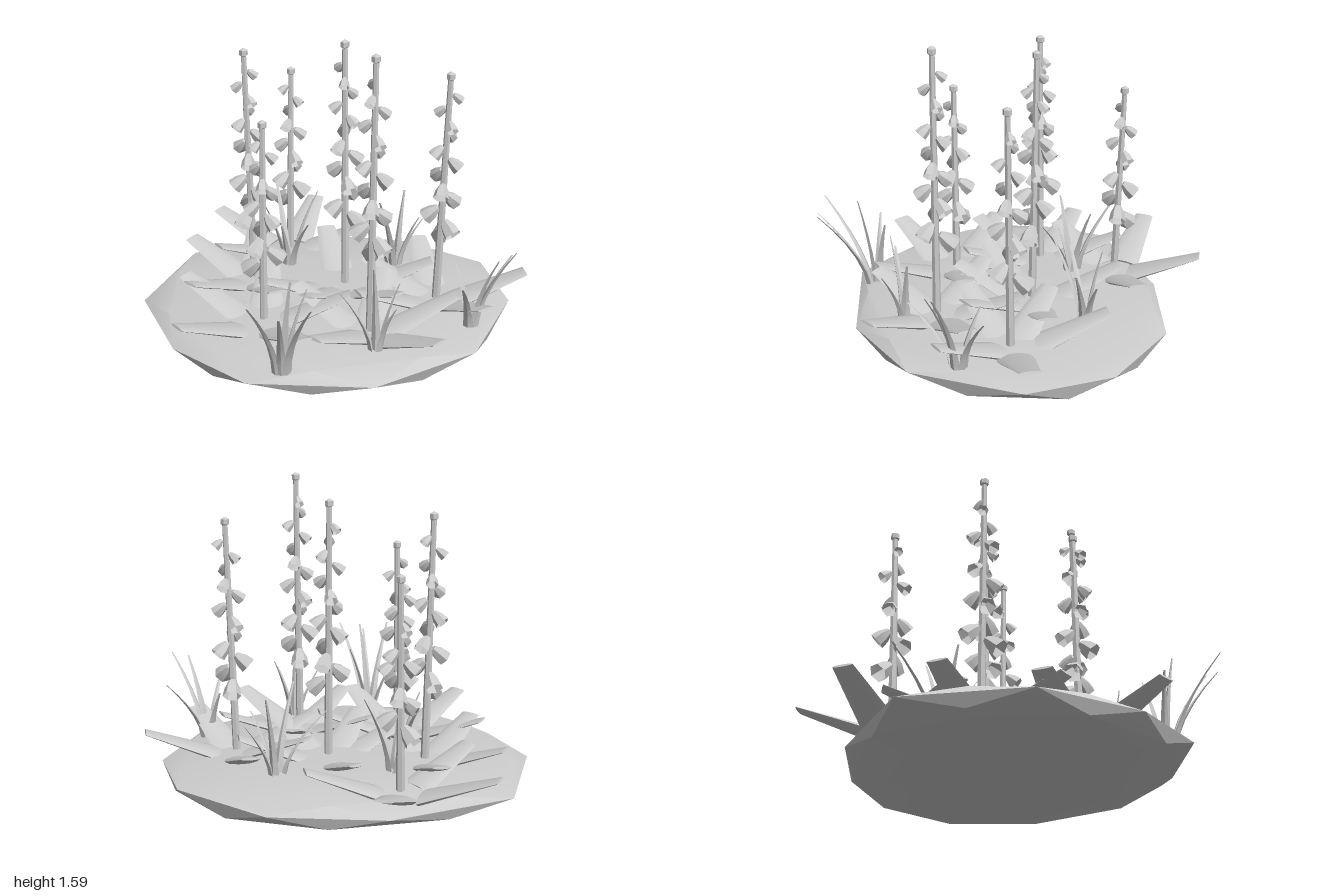
import * as THREE from 'three';
import { toCreasedNormals } from 'three/addons/utils/BufferGeometryUtils.js';

const clay = new THREE.MeshStandardMaterial({ color: 0xcccccc, side: THREE.DoubleSide });
clay.name = 'pale grey';

function add(parent, name, geometry) {
  const mesh = new THREE.Mesh(geometry, clay);
  mesh.name = name;
  parent.add(mesh);
  return mesh;
}

// Uneven ten-sided mound: outline corners [x, z, rim height]
const outline = [
  [0, 0.87, 0.12], [0.54, 0.72, 0.15], [0.885, 0.25, 0.15], [0.885, -0.195, 0.16], [0.55, -0.6, 0.14],
  [0, -0.77, 0.12], [-0.65, -0.725, 0.13], [-0.975, -0.215, 0.125], [-0.875, 0.33, 0.13], [-0.58, 0.735, 0.14],
];

function moundGeometry() {
  // rings from top to bottom: [scale, height]; all but the rim sit half a step round
  const RIM = 3;
  const rings = [[0, 0.205], [0.5, 0.197], [0.94, 0.176], [1], [0.97, 0.066], [0.52, 0.018], [0, 0]];
  const n = outline.length, pos = [], idx = [];
  rings.forEach(([s, y], r) => outline.forEach(([x, z, rim], i) => {
    const j = (i + 1) % n, [nx, nz] = outline[j];
    if (r === RIM) pos.push(x, rim, z);
    else pos.push((x + nx) / 2 * s, y, (z + nz) / 2 * s);
    if (r === 0) return;
    const a = (r - 1) * n + i, b = (r - 1) * n + j, c = r * n + i, d = r * n + j;
    if (r <= RIM) {
      idx.push(a, c, d);
      if (r > 1) idx.push(a, d, b);
    } else {
      idx.push(a, c, b);
      if (r < rings.length - 1) idx.push(b, c, d);
    }
  }));
  const g = new THREE.BufferGeometry();
  g.setAttribute('position', new THREE.Float32BufferAttribute(pos, 3));
  g.setIndex(idx);
  return toCreasedNormals(g, 0.5);
}

// Six-sided hanging bell of unit length, apex at the origin
const bellGeometry = toCreasedNormals(new THREE.LatheGeometry(
  [[0.001, 0], [0.2, -0.03], [0.42, -0.5], [0.5, -1]].reverse().map(([x, y]) => new THREE.Vector2(x, y)), 6), 0.3);

// Flattened leaf lying along +x, thinning to a straight blunt tip
const LEAF = 0.4;
function makeLeafGeometry() {
  const g = new THREE.CylinderGeometry(0.05, 0.098, LEAF, 10);
  const p = g.attributes.position;
  for (let i = 0; i < p.count; i++) p.setX(i, p.getX(i) * (0.2 - 0.3 * p.getY(i)));
  g.rotateZ(-Math.PI / 2).translate(LEAF / 2, 0, 0);
  return toCreasedNormals(g, 0.7);
}
const leafGeometry = makeLeafGeometry();

// Stems: top [x, z], base [x, z], height, phase of the top bell, leaf tips [x, z]
const plants = [
  { top: [-0.1, -0.6], base: [-0.12, -0.58], h: 1.24, phase: Math.PI,
    leaves: [[-0.48, -0.91], [0.11, -0.975], [0.34, -0.53], [-0.55, -0.4]] },
  { top: [-0.405, -0.24], base: [-0.38, -0.24], h: 1.46, phase: 0.3,
    leaves: [[-0.29, -0.68], [-0.68, -0.55], [-0.75, 0.02], [-0.33, 0.2]] },
  { top: [0.073, -0.065], base: [0.075, -0.045], h: 1.52, phase: 2,
    leaves: [[0.075, -0.53], [0.53, 0.02], [-0.39, 0.06], [0.25, 0.36], [-0.2, 0.28]] },
  { top: [0.53, 0.22], base: [0.5, 0.2], h: 1.41, phase: 0,
    leaves: [[0.965, 0.25], [0.54, -0.29], [0.63, 0.6], [0.06, 0.3], [0.2, -0.1]] },
  { top: [-0.395, 0.235], base: [-0.41, 0.235], h: 1.24, phase: 3.6,
    leaves: [[-0.86, 0.45], [-0.76, -0.1], [-0.3, 0.7], [0.02, 0.3], [-0.3, -0.2]] },
  { top: [0.095, 0.455], base: [0.08, 0.465], h: 1.59, phase: 1.57,
    leaves: [[-0.25, 0.7], [0.31, 0.86], [0.53, 0.42], [-0.22, 0.13], [0.25, 0.05]] },
];

function makePlant({ top, base, h, phase, leaves }) {
  const plant = new THREE.Group();
  plant.name = 'flowerSpike';
  const lo = new THREE.Vector3(base[0], 0.15, base[1]);
  const hi = new THREE.Vector3(top[0], h - 0.03, top[1]);
  const axis = hi.clone().sub(lo);

  const stem = add(plant, 'stem',
    toCreasedNormals(new THREE.CylinderGeometry(0.014, 0.022, axis.length(), 6), 0.3));
  stem.position.copy(lo).add(hi).multiplyScalar(0.5);
  stem.quaternion.setFromUnitVectors(new THREE.Vector3(0, 1, 0), axis.clone().normalize());

  // Closed bud at the tip
  const bud = add(plant, 'bud', toCreasedNormals(new THREE.SphereGeometry(0.025, 6, 3), 0.3));
  bud.position.set(top[0], h - 0.024, top[1]);

  // Bells in a spiral, growing larger toward the ground
  const count = Math.round(h / 0.115);
  for (let i = 0; i < count; i++) {
    const f = i / (count - 1);
    const turn = new THREE.Group();
    turn.name = 'bellMount';
    turn.position.copy(lo).lerp(hi, 0.93 - 0.59 * f);
    turn.rotation.y = phase + i * 2.4;
    const bell = add(turn, 'bell', bellGeometry);
    bell.scale.setScalar(0.052 + 0.044 * f);
    bell.position.x = 0.018;
    bell.rotation.z = 0.85;
    plant.add(turn);
  }

  // Ground leaves, each rising outward from the stem
  for (const [x, z] of leaves) {
    const dx = x - base[0], dz = z - base[1], d = Math.hypot(dx, dz);
    const mount = new THREE.Group();
    mount.name = 'leafMount';
    mount.rotation.y = Math.atan2(-dz, dx);
    const start = (d - LEAF * 0.93) / d;
    mount.position.set(base[0] + dx * start, 0.166, base[1] + dz * start);
    add(mount, 'leaf', leafGeometry).rotation.z = 0.375;
    plant.add(mount);
  }
  return plant;
}

// Grass tufts: root [x, z], root height, blade tips [x, z, height]
const tufts = [
  { root: [-0.4, 0.68], y: 0.14, tips: [[-0.59, 0.91, 0.62], [-0.32, 0.99, 0.62], [-0.46, 0.97, 0.58],
    [-0.55, 0.62, 0.5], [-0.27, 0.65, 0.55], [-0.37, 0.77, 0.66]] },
  { root: [0.59, 0.48], y: 0.17, tips: [[0.47, 0.69, 0.48], [0.75, 0.64, 0.62], [0.82, 0.42, 0.5],
    [0.66, 0.65, 0.59], [0.55, 0.36, 0.45]] },
  { root: [0.4, -0.22], y: 0.18, tips: [[0.14, -0.23, 0.5], [0.55, -0.22, 0.45], [0.27, -0.09, 0.62],
    [0.46, -0.28, 0.6], [0.5, -0.13, 0.5]] },
  { root: [-0.17, -0.35], y: 0.18, tips: [[-0.19, -0.62, 0.6], [0, -0.39, 0.59], [-0.31, -0.33, 0.58],
    [-0.1, -0.16, 0.5], [-0.22, -0.28, 0.45]] },
  { root: [0.07, 0.63], y: 0.17, tips: [[-0.11, 0.63, 0.5], [0.18, 0.63, 0.52], [0.13, 0.75, 0.45],
    [0.04, 0.68, 0.63]] },
];

// A slim tapered blade bent outward so that it ends at its tip
function bladeGeometry(reach, height) {
  const g = new THREE.CylinderGeometry(0.005, 0.027, 1, 4, 5).translate(0, 0.5, 0).scale(0.5, 1, 1);
  const p = g.attributes.position;
  for (let i = 0; i < p.count; i++) {
    const t = p.getY(i);
    p.setXYZ(i, p.getX(i) + reach * t ** 1.6, height * t, p.getZ(i));
  }
  return toCreasedNormals(g, 0.6);
}

function makeTuft({ root, y, tips }) {
  const tuft = new THREE.Group();
  tuft.name = 'grassTuft';
  for (const [x, z, tipY] of tips) {
    const bx = root[0] + (x - root[0]) * 0.15, bz = root[1] + (z - root[1]) * 0.15;
    const blade = add(tuft, 'grassBlade', bladeGeometry(Math.hypot(x - bx, z - bz), tipY - y));
    blade.position.set(bx, y, bz);
    blade.rotation.y = Math.atan2(bz - z, x - bx);
  }
  return tuft;
}

export function createModel() {
  const model = new THREE.Group();
  model.name = 'flowerBed';
  add(model, 'mound', moundGeometry());
  plants.forEach((p) => model.add(makePlant(p)));
  tufts.forEach((t) => model.add(makeTuft(t)));
  return model;
}
